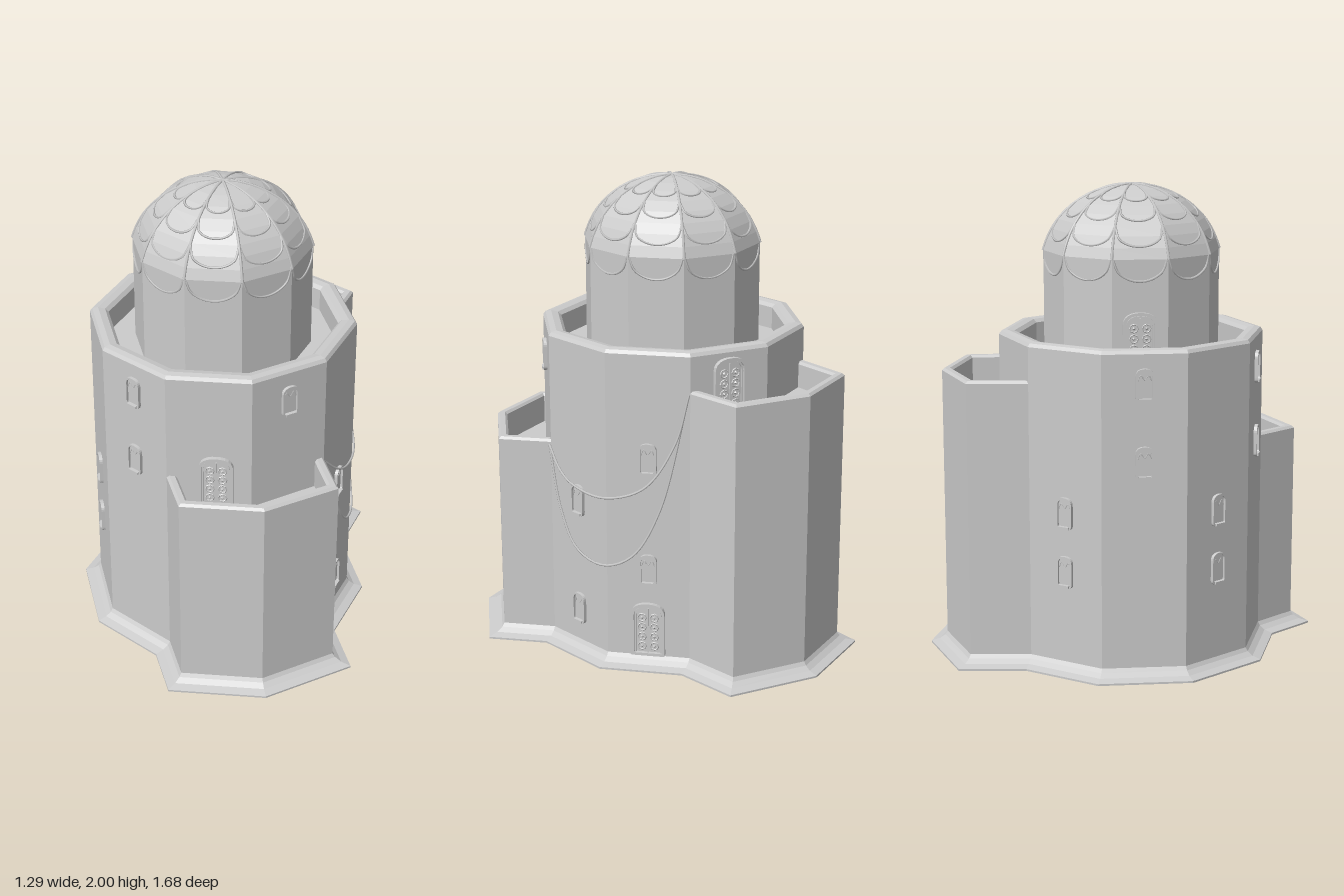
import * as THREE from 'three';

const CX = -0.01, CZ = 0.02, R = 0.565, N = 10;
const STEP = (Math.PI * 2) / N, APO = Math.cos(STEP / 2);
const rad = (d) => (d * Math.PI) / 180;
const stone = new THREE.MeshStandardMaterial({ color: 0xcccccc, flatShading: true });
const stoneTwoSided = new THREE.MeshStandardMaterial({ color: 0xcccccc, flatShading: true, side: THREE.DoubleSide });
const smooth = new THREE.MeshStandardMaterial({ color: 0xcccccc });

function add(parent, name, geometry, material = stone) {
  const mesh = new THREE.Mesh(geometry, material);
  mesh.name = name;
  parent.add(mesh);
  return mesh;
}

// Corner of the ten-sided tower at an angle in degrees, as [x, z]
const corner = (deg, r = R) => [CX + r * Math.cos(rad(deg)), CZ + r * Math.sin(rad(deg))];

// Ten-sided solid from a profile of [radius, y]
function tenSided(profile) {
  const g = new THREE.LatheGeometry(profile.map(([r, y]) => new THREE.Vector2(r, y)), N, rad(23.5));
  return g.translate(CX, 0, CZ);
}

// Mitred outward offset of an outline of [x, z]
function offset(pts, d, closed) {
  const n = pts.length;
  const normal = (i) => {
    const a = pts[(i + n) % n], b = pts[(i + 1) % n];
    const l = Math.hypot(b[0] - a[0], b[1] - a[1]);
    return [-(b[1] - a[1]) / l, (b[0] - a[0]) / l];
  };
  return pts.map((p, i) => {
    const n0 = normal(!closed && i === 0 ? 0 : i - 1);
    const n1 = normal(!closed && i === n - 1 ? n - 2 : i);
    const k = d / (1 + n0[0] * n1[0] + n0[1] * n1[1]);
    return [p[0] + (n0[0] + n1[0]) * k, p[1] + (n0[1] + n1[1]) * k];
  });
}

// Wall surface following an outline; section is a list of [offset, y]
function sweep(outline, section, closed) {
  const rows = section.map(([d, y]) => offset(outline, d, closed).map(([x, z]) => [x, y, z]));
  const n = outline.length, v = [];
  for (let j = 0; j < rows.length - 1; j++) {
    for (let i = 0; i < (closed ? n : n - 1); i++) {
      const k = (i + 1) % n;
      const a = rows[j][i], b = rows[j][k], c = rows[j + 1][k], d = rows[j + 1][i];
      v.push(...a, ...b, ...c, ...a, ...c, ...d);
    }
  }
  const g = new THREE.BufferGeometry();
  g.setAttribute('position', new THREE.Float32BufferAttribute(v, 3));
  g.computeVertexNormals();
  return g;
}

const flatShape = (pts) => new THREE.Shape(pts.map(([x, z]) => new THREE.Vector2(x, z)));

// Opening outline with an arched top and rounded foot, standing on y = 0
function archShape(w, h, rise, foot, Type = THREE.Shape) {
  const s = new Type(), a = w / 2;
  s.moveTo(-a + foot, 0);
  s.lineTo(a - foot, 0);
  s.quadraticCurveTo(a, 0, a, foot);
  s.lineTo(a, h - rise);
  s.bezierCurveTo(a, h - rise * 0.3, a * 0.6, h, 0, h);
  s.bezierCurveTo(-a * 0.6, h, -a, h - rise * 0.3, -a, h - rise);
  s.lineTo(-a, foot);
  s.quadraticCurveTo(-a, 0, -a + foot, 0);
  return s;
}

function archFrame(w, h, rise, foot, t, depth) {
  const s = archShape(w, h, rise, foot);
  const hole = archShape(w - 2 * t, h - 2 * t, rise * 0.8, foot * 0.6, THREE.Path);
  s.holes.push(new THREE.Path(hole.getPoints(6).map((p) => p.add(new THREE.Vector2(0, t)))));
  return new THREE.ExtrudeGeometry(s, { depth, bevelEnabled: false, curveSegments: 6 });
}

function tube(points, r, segments, sides = 5) {
  const curve = new THREE.CatmullRomCurve3(points.map((p) => new THREE.Vector3(...p)));
  return new THREE.TubeGeometry(curve, segments, r, sides);
}

// Stand a part against a tower face
function place(part, deg, apothem, y, shift = 0) {
  const a = rad(deg);
  part.position.set(CX + apothem * Math.cos(a) + shift * Math.sin(a), y, CZ + apothem * Math.sin(a) - shift * Math.cos(a));
  part.rotation.y = Math.PI / 2 - a;
  return part;
}

function makeWindow() {
  const g = new THREE.Group();
  g.name = 'window';
  add(g, 'windowFrame', archFrame(0.074, 0.135, 0.03, 0.02, 0.008, 0.014));
  add(g, 'windowPane', new THREE.ShapeGeometry(archShape(0.068, 0.13, 0.03, 0.018))).position.z = 0.004;
  add(g, 'windowSill', new THREE.BoxGeometry(0.05, 0.01, 0.02)).position.set(0, 0.008, 0.01);
  const drape = [[-0.028, 0.085], [-0.016, 0.108], [0, 0.088], [0.016, 0.108], [0.028, 0.085]];
  add(g, 'windowDrape', tube(drape.map(([x, y]) => [x, y, 0.005]), 0.002, 16, 4), smooth);
  return g;
}

function makeDoor() {
  const g = new THREE.Group();
  g.name = 'door';
  add(g, 'doorFrame', archFrame(0.142, 0.235, 0.05, 0.004, 0.012, 0.02));
  add(g, 'doorInnerFrame', archFrame(0.114, 0.215, 0.045, 0.004, 0.006, 0.012)).position.y = 0.006;
  add(g, 'doorLeaves', new THREE.ShapeGeometry(archShape(0.13, 0.225, 0.045, 0.004))).position.z = 0.004;
  add(g, 'doorSeam', new THREE.BoxGeometry(0.006, 0.2, 0.014)).position.set(0, 0.11, 0.004);
  for (const x of [-0.026, 0.026]) {
    for (let i = 0; i < 4; i++) {
      const panel = add(g, 'doorPanel', new THREE.TorusGeometry(0.017, 0.003, 4, 8));
      panel.position.set(x, 0.04 + i * 0.043, 0.006);
      const stud = add(g, 'doorStud', new THREE.OctahedronGeometry(0.008));
      stud.position.copy(panel.position);
    }
  }
  return g;
}

// Dome radius at a height: straight drum below, ellipse above
const domeRadius = (y) => (y <= 1.72 ? 0.375 : 0.381 * Math.sqrt(Math.max(0, 1 - ((y - 1.65) / 0.345) ** 2)));

export function createModel() {
  const model = new THREE.Group();
  model.name = 'domedTower';

  // Main tower: hollow shell with rounded parapet and terrace
  add(model, 'tower', tenSided([
    [0, 1.25], [0.535, 1.25], [0.535, 0]].reverse().map(([r, y]) => [r, y])), stoneTwoSided).name = 'towerInterior';
  add(model, 'towerWall', tenSided([
    [R, 0.03], [R, 1.365], [0.555, 1.379], [0.53, 1.384], [0.5, 1.379], [0.485, 1.365], [0.485, 1.27], [0.36, 1.27]]));

  // Two lower annexes with parapet walls and sunken floors
  const front = [corner(102.5), [-0.038, 0.768], [0.305, 0.735], [0.57, 0.513], corner(30.5)];
  const back = [corner(-41.5), [0.46, -0.6], [0.17, -0.768], [-0.158, -0.742], corner(-113.5)];
  for (const [name, path, top, floor] of [['frontAnnex', front, 0.91, 0.78], ['backAnnex', back, 1.222, 1.11]]) {
    add(model, name + 'Wall', sweep(path, [
      [0, 0.03], [0, top - 0.01], [-0.01, top], [-0.032, top], [-0.042, top - 0.01], [-0.042, floor - 0.01]], false), stoneTwoSided);
    const slab = new THREE.ShapeGeometry(flatShape(offset(path, -0.01, false))).rotateX(Math.PI / 2);
    add(model, name + 'Floor', slab, stoneTwoSided).position.y = floor;
  }

  // Flared foot around the joined outline, with an open middle
  const outline = [...front, corner(-5.5), ...back, corner(210.5), corner(174.5), corner(138.5)];
  add(model, 'flaredFoot', sweep(outline, [[0.067, 0], [0.067, 0.008], [0.032, 0.018], [0.01, 0.034], [0, 0.05]], true));
  const under = flatShape(offset(outline, 0.067, true));
  under.holes.push(new THREE.Path(Array.from({ length: N }, (_, i) => new THREE.Vector2(...corner(30.5 + i * 36, 0.535)))));
  add(model, 'footUnderside', new THREE.ShapeGeometry(under).rotateX(Math.PI / 2));

  // Drum and dome
  const domeProfile = [1.72, 1.765, 1.81, 1.85, 1.89, 1.925, 1.955, 1.978, 1.99, 1.995].map((y) => [domeRadius(y), y]);
  add(model, 'drum', tenSided([[0.373, 1.26], [0.373, 1.72]]));
  add(model, 'dome', tenSided(domeProfile));

  // Dome ribs and hanging scallops between them
  const onRib = (deg, y) => { const [x, z] = corner(deg, domeRadius(y)); return [x, y, z]; };
  for (let i = 0; i < N; i++) {
    const a = 30.5 + i * 36;
    add(model, 'domeRib', tube(domeProfile.map(([, y]) => onRib(a, y)), 0.006, 20), smooth);
    for (const [high, low] of [[1.735, 1.63], [1.85, 1.77], [1.925, 1.868], [1.972, 1.94]]) {
      const pts = [];
      for (let k = 0; k <= 10; k++) {
        const t = k / 10, y = high - (high - low) * Math.sqrt(1 - (2 * t - 1) ** 2);
        const p = onRib(a, y), q = onRib(a + 36, y);
        pts.push([p[0] + (q[0] - p[0]) * t, y, p[2] + (q[2] - p[2]) * t]);
      }
      add(model, 'domeScallop', tube(pts, 0.005, 20, 4), smooth);
    }
  }

  // Windows: face direction in degrees and heights of their centres
  const windows = [[120.5, 1.24, 0.92], [48.5, 1.24], [156.5, 0.69, 0.44], [12.5, 0.69, 0.2],
    [-23.5, 0.925, 0.44], [192.5, 1.24, 0.92], [228.5, 0.69, 0.44]];
  for (const [deg, ...heights] of windows) {
    for (const y of heights) model.add(place(makeWindow(), deg, R * APO, y - 0.068));
  }

  // Doors: ground, both annex floors and the terrace
  model.add(place(makeDoor(), -23.5, R * APO, 0.055));
  model.add(place(makeDoor(), 84.5, R * APO, 0.78, 0.03));
  model.add(place(makeDoor(), -59.5, R * APO, 1.11));
  model.add(place(makeDoor(), 192.5, 0.373 * APO, 1.27));

  // Two ropes slung round the left side between the annexes, as [z, y]
  const ropes = [
    [[0.31, 0.89], [0.23, 0.81], [0.14, 0.765], [-0.03, 0.745], [-0.2, 0.81], [-0.31, 1.0], [-0.355, 1.21]],
    [[0.31, 0.89], [0.22, 0.625], [0.12, 0.485], [-0.02, 0.445], [-0.15, 0.505], [-0.255, 0.705], [-0.355, 1.21]],
  ];
  for (const rope of ropes) {
    const pts = rope.map(([z, y]) => [CX + Math.sqrt(0.572 ** 2 - (z - CZ) ** 2), y, z]);
    add(model, 'rope', tube(pts, 0.005, 48), smooth);
  }
  return model;
}
